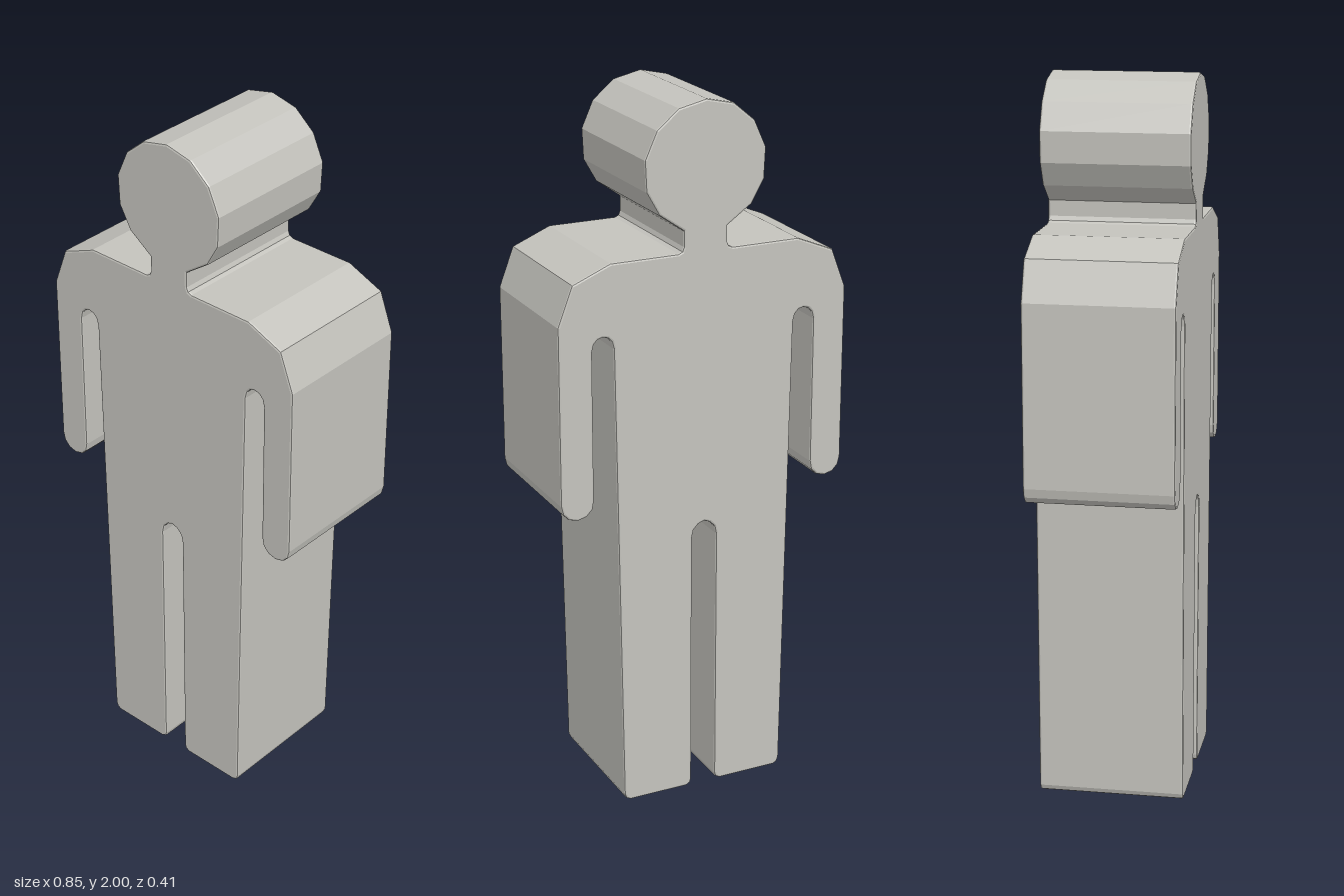
import * as THREE from 'three';

// Half outline of the figure (+x side), from the crotch round to the crown
const HALF = [
  // inner leg and foot
  [0, 0.82], [0.018, 0.813], [0.032, 0.798], [0.037, 0.775], [0.037, 0.02], [0.041, 0.007], [0.053, 0],
  [0.23, 0], [0.242, 0.006], [0.248, 0.02],
  // flank and armpit slot
  [0.268, 1.36], [0.273, 1.38], [0.284, 1.392], [0.299, 1.396], [0.314, 1.392], [0.325, 1.38], [0.33, 1.36],
  // hand
  [0.33, 0.94], [0.335, 0.915], [0.352, 0.897], [0.378, 0.89], [0.404, 0.897], [0.421, 0.915], [0.427, 0.94],
  // arm and shoulder
  [0.427, 1.44], [0.385, 1.55], [0.276, 1.595],
  // neck
  [0.08, 1.595], [0.069, 1.6], [0.064, 1.612], [0.064, 1.655],
  // head
  [0.135, 1.705], [0.172, 1.77], [0.176, 1.855], [0.142, 1.93], [0.08, 1.982], [0, 2],
];

export function createModel() {
  const group = new THREE.Group();
  group.name = 'standingFigure';

  const stone = new THREE.MeshStandardMaterial({ color: 0xc4c3bd });
  stone.name = 'warm grey';

  // Mirror the half outline into a closed silhouette
  const mirrored = HALF.slice(1, -1).reverse().map(([x, y]) => [-x, y]);
  const outline = [...HALF, ...mirrored].map(([x, y]) => new THREE.Vector2(x, y));

  // Thick slab with a fine bevel kept inside the outline
  const halfDepth = 0.204;
  const bevel = 0.006;
  const geometry = new THREE.ExtrudeGeometry(new THREE.Shape(outline), {
    depth: 2 * (halfDepth - bevel),
    bevelEnabled: true,
    bevelSize: bevel,
    bevelThickness: bevel,
    bevelOffset: -bevel,
    bevelSegments: 2,
  });
  geometry.translate(0, 0, bevel - halfDepth);

  const body = new THREE.Mesh(geometry, stone);
  body.name = 'body';
  group.add(body);
  return group;
}
